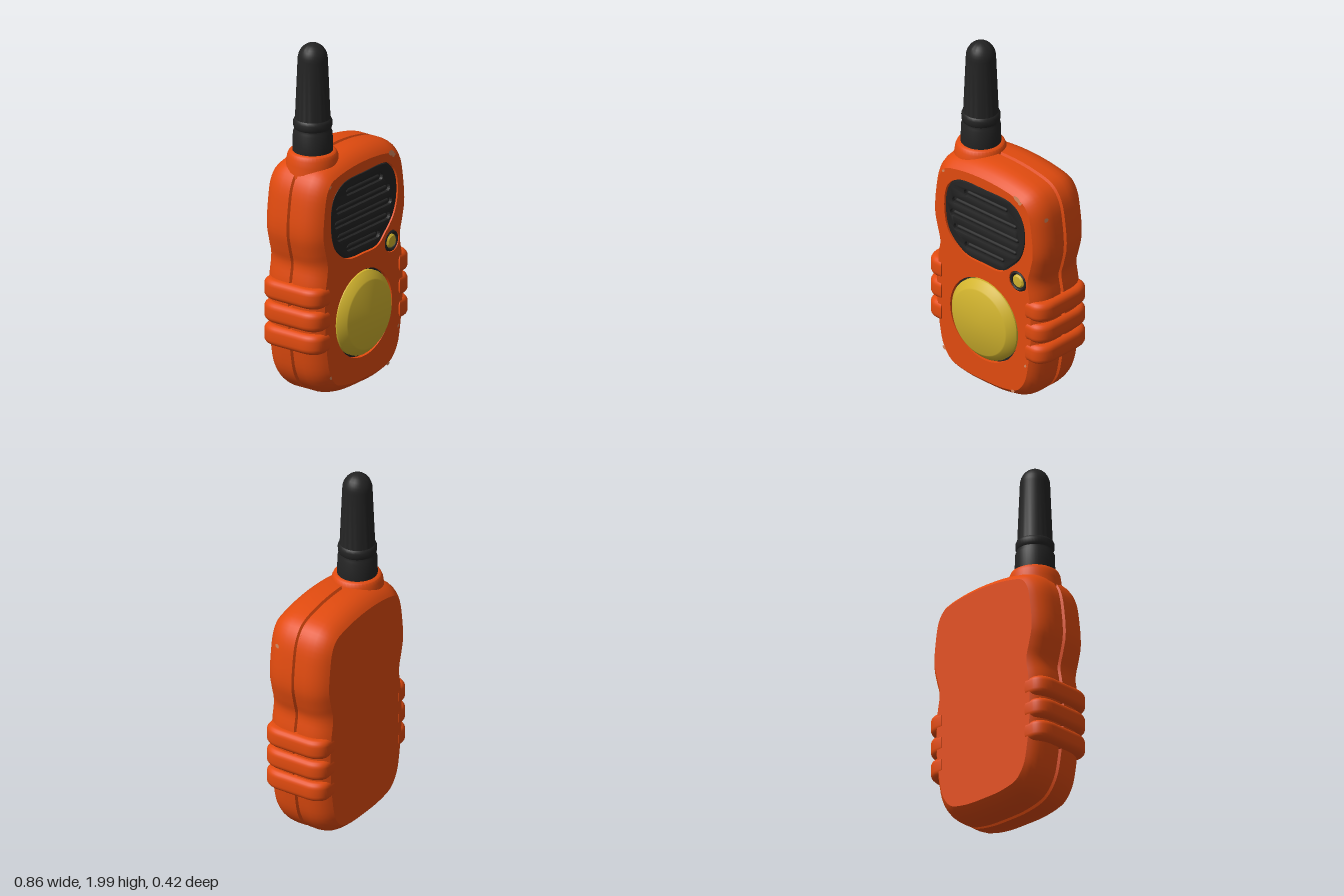
import * as THREE from 'three';
import { toCreasedNormals } from 'three/addons/utils/BufferGeometryUtils.js';

const MID = -0.02; // depth of the seam between the two shell halves

const mat = (name, color) => {
  const m = new THREE.MeshStandardMaterial({ color });
  m.name = name;
  return m;
};

// Closed smooth outline, moved inwards along its normal by inset
function outline(points, n, inset = 0) {
  const curve = new THREE.CatmullRomCurve3(points.map(([x, y]) => new THREE.Vector3(x, y, 0)), true);
  return Array.from({ length: n }, (_, i) => {
    const p = curve.getPoint(i / n), t = curve.getTangent(i / n);
    return new THREE.Vector2(p.x - t.y * inset, p.y + t.x * inset);
  });
}

// Counter-clockwise body outline, right half mirrored to the left
const half = [[0.15, 0.015], [0.27, 0.05], [0.345, 0.14], [0.38, 0.28], [0.4, 0.5], [0.39, 0.69], [0.375, 0.79],
  [0.392, 0.86], [0.413, 0.96], [0.405, 1.1], [0.375, 1.24], [0.315, 1.315], [0.19, 1.352]];
const bodyPoints = [[0, 0.008], ...half, [0, 1.367], ...half.map(([x, y]) => [-x, y]).reverse()];
const grillePoints = [[0, 0.78], [0.12, 0.785], [0.19, 0.84], [0.265, 0.925], [0.298, 1.04], [0.28, 1.16], [0.21, 1.235],
  [0, 1.247], [-0.18, 1.235], [-0.265, 1.17], [-0.29, 1.03], [-0.255, 0.88], [-0.14, 0.79]];
const BUTTON = [0, 0.44], LED = [0.245, 0.775];

function circlePath(x, y, r) {
  return new THREE.Path().absarc(x, y, r, 0, Math.PI * 2, true);
}

function slotPath(x0, x1, y, r) {
  const p = new THREE.Path();
  p.absarc(x1 - r, y, r, -Math.PI / 2, Math.PI / 2, false);
  p.absarc(x0 + r, y, r, Math.PI / 2, Math.PI * 1.5, false);
  p.closePath();
  return p;
}

function slab(shape, z0, z1, bevel = 0) {
  const g = new THREE.ExtrudeGeometry(shape, {
    depth: z1 - z0 - bevel, curveSegments: 24, bevelEnabled: bevel > 0,
    bevelSize: bevel, bevelThickness: bevel, bevelOffset: -bevel, bevelSegments: 2,
  });
  g.translate(0, 0, z0);
  return toCreasedNormals(g, 0.6);
}

// Shell lofted from back to front, with a flat back and a grooved seam
function shellGeometry() {
  const side = [[0.004, 0.014], [0.012, 0], [0.07, 0], [0.105, 0.005], [0.135, 0.015], [0.16, 0.03], [0.178, 0.046], [0.19, 0.06]];
  const rings = [...side.map(([d, i]) => [-d, i]).reverse(), ...side];
  const n = 112, pos = [], idx = [];
  for (const [d, inset] of rings)
    for (const p of outline(bodyPoints, n, inset)) pos.push(p.x, p.y, MID + d);
  for (let i = 0; i < rings.length - 1; i++)
    for (let j = 0; j < n; j++) {
      const k = (j + 1) % n, a = i * n + j, b = i * n + k;
      idx.push(a, b, b + n, a, b + n, a + n);
    }
  const centre = pos.length / 3;
  pos.push(0, 0.66, MID - 0.19);
  for (let j = 0; j < n; j++) idx.push(centre, (j + 1) % n, j);
  const g = new THREE.BufferGeometry();
  g.setAttribute('position', new THREE.Float32BufferAttribute(pos, 3));
  g.setIndex(idx);
  return toCreasedNormals(g, 0.65);
}

function lathe(points, segments = 40) {
  const g = new THREE.LatheGeometry(points.map(([r, y]) => new THREE.Vector2(r, y)), segments);
  return toCreasedNormals(g, 0.6);
}

// C-shaped finger grip that wraps round the side, lying level
function gripGeometry() {
  const s = new THREE.Shape();
  s.moveTo(0.305, -0.195);
  s.lineTo(0.355, -0.195);
  s.bezierCurveTo(0.4, -0.19, 0.43, -0.15, 0.43, -0.09);
  s.lineTo(0.43, 0.09);
  s.bezierCurveTo(0.43, 0.15, 0.4, 0.19, 0.355, 0.195);
  s.lineTo(0.305, 0.195);
  s.closePath();
  const g = new THREE.ExtrudeGeometry(s, {
    depth: 0.045, curveSegments: 10, bevelSize: 0.035, bevelThickness: 0.035, bevelOffset: -0.035, bevelSegments: 5,
  });
  g.translate(0, 0, -0.0225);
  g.rotateX(-Math.PI / 2);
  return toCreasedNormals(g, 0.8);
}

export function createModel() {
  const orange = mat('orange casing', 0xe24b0f);
  const black = mat('black plastic', 0x232323);
  const yellow = mat('yellow buttons', 0xd2b42e);
  const worn = mat('worn paint', 0xd88a60);

  const model = new THREE.Group();
  model.name = 'walkieTalkie';
  const add = (name, geometry, material, x = 0, y = 0, z = 0, parent = model) => {
    const m = new THREE.Mesh(geometry, material);
    m.name = name;
    m.position.set(x, y, z);
    parent.add(m);
    return m;
  };

  // Casing with openings in the front plate
  add('shell', shellGeometry(), orange);
  const plate = new THREE.Shape(outline(bodyPoints, 112, 0.06));
  plate.holes.push(
    new THREE.Path(outline(grillePoints, 64)),
    circlePath(...BUTTON, 0.247),
    circlePath(...LED, 0.062),
  );
  add('frontPlate', slab(plate, 0.14, 0.17), orange);
  add('recessFloor', new THREE.ShapeGeometry(new THREE.Shape(outline(bodyPoints, 64, 0.09))), black, 0, 0, 0.148);

  // Speaker grille with five slots
  const grille = new THREE.Shape(outline(grillePoints, 64, 0.007));
  const slots = [[-0.15, 0.17, 1.17], [-0.235, 0.235, 1.09], [-0.25, 0.25, 1.01], [-0.225, 0.235, 0.93], [-0.145, 0.145, 0.85]];
  for (const [x0, x1, y] of slots) grille.holes.push(slotPath(x0, x1, y, 0.021));
  add('speakerGrille', slab(grille, 0.142, 0.167, 0.004), black);
  for (const [x0, x1, y] of slots) {
    const bar = add('grilleBar', new THREE.CapsuleGeometry(0.011, x1 - x0 - 0.05, 6, 12), black, (x0 + x1) / 2, y, 0.15);
    bar.rotation.z = Math.PI / 2;
  }

  // Large talk button and small call button
  const talk = add('talkButton', lathe([[0.236, 0], [0.236, 0.028], [0.226, 0.04], [0.197, 0.066], [0.19, 0.07], [0, 0.07]], 48),
    yellow, ...BUTTON, 0.14);
  const rim = add('callButtonRim', lathe([[0.058, 0], [0.058, 0.028], [0.05, 0.033], [0.043, 0.028], [0.043, 0.008]], 28),
    black, ...LED, 0.14);
  const call = add('callButton', lathe([[0.038, 0], [0.038, 0.026], [0.03, 0.034], [0, 0.037]], 24), yellow, ...LED, 0.14);
  for (const m of [talk, rim, call]) m.rotation.x = Math.PI / 2;

  // Three finger grips on each side
  const gripShape = gripGeometry();
  for (const [name, turn] of [['leftGrips', 0], ['rightGrips', Math.PI]]) {
    const grips = new THREE.Group();
    grips.name = name;
    grips.position.z = MID + 0.003;
    grips.rotation.y = turn;
    model.add(grips);
    for (const y of [0.365, 0.495, 0.625]) add('grip', gripShape, orange, 0, y, 0, grips);
  }

  // Antenna on its collar
  add('antennaCollar', lathe([[0.15, 1.27], [0.142, 1.33], [0.137, 1.365], [0.128, 1.385], [0.115, 1.393], [0.09, 1.393]]),
    orange, -0.2, 0, MID);
  const profile = [[0.109, 1.36], [0.109, 1.4], [0.106, 1.495], [0.1, 1.508], [0.098, 1.52], [0.104, 1.53], [0.105, 1.558],
    [0.1, 1.57], [0.095, 1.575], [0.081, 1.91]];
  for (let i = 1; i <= 8; i++) {
    const a = (i / 8) * Math.PI / 2;
    profile.push([i === 8 ? 0 : 0.081 * Math.cos(a), 1.91 + 0.09 * Math.sin(a)]);
  }
  add('antenna', lathe(profile), black, -0.2, 0, MID);

  // Small chips in the paint
  const chips = [[0.24, 1.28, 0.026, -0.4], [0.262, 1.262, 0.016, 0.5], [-0.295, 1.245, 0.012, 0.8], [-0.29, 0.155, 0.014, -0.7],
    [0.3, 0.275, 0.012, 1], [0.21, 0.085, 0.014, 0.3]];
  for (const [x, y, r, turn] of chips) {
    const chip = add('paintChip', new THREE.CircleGeometry(r, 7), worn, x, y, 0.1715);
    chip.scale.y = 0.6;
    chip.rotation.z = turn;
  }
  const sideChip = add('sidePaintChip', new THREE.CircleGeometry(0.014, 7), worn, 0.388, 1.18, 0.1);
  sideChip.rotation.y = Math.PI / 2 - 0.25;

  return model;
}
